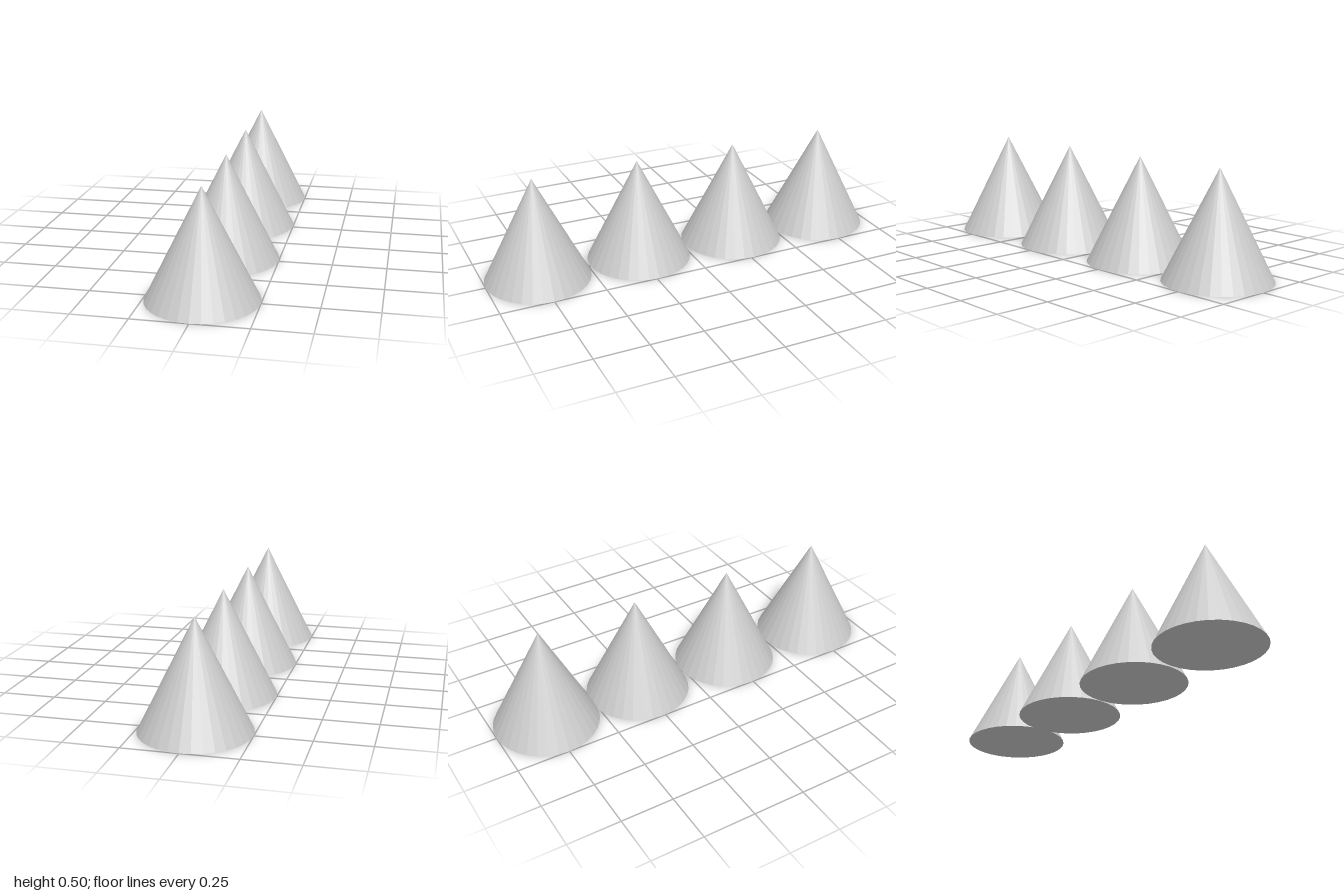
import * as THREE from 'three';

export function createModel() {
  const model = new THREE.Group();
  model.name = 'coneRow';

  const radius = 0.25;
  const height = 0.5;
  const material = new THREE.MeshStandardMaterial({ color: 0xcccccc, flatShading: true });

  // One faceted cone with a closed base, standing on the ground
  const geometry = new THREE.ConeGeometry(radius, height, 32);
  geometry.translate(0, height / 2, 0);

  // Four cones from front to back, slightly unevenly spaced
  [0.75, 0.24, -0.264, -0.75].forEach((z, i) => {
    const cone = new THREE.Mesh(geometry, material);
    cone.name = `cone${i + 1}`;
    cone.position.z = z;
    model.add(cone);
  });

  return model;
}
